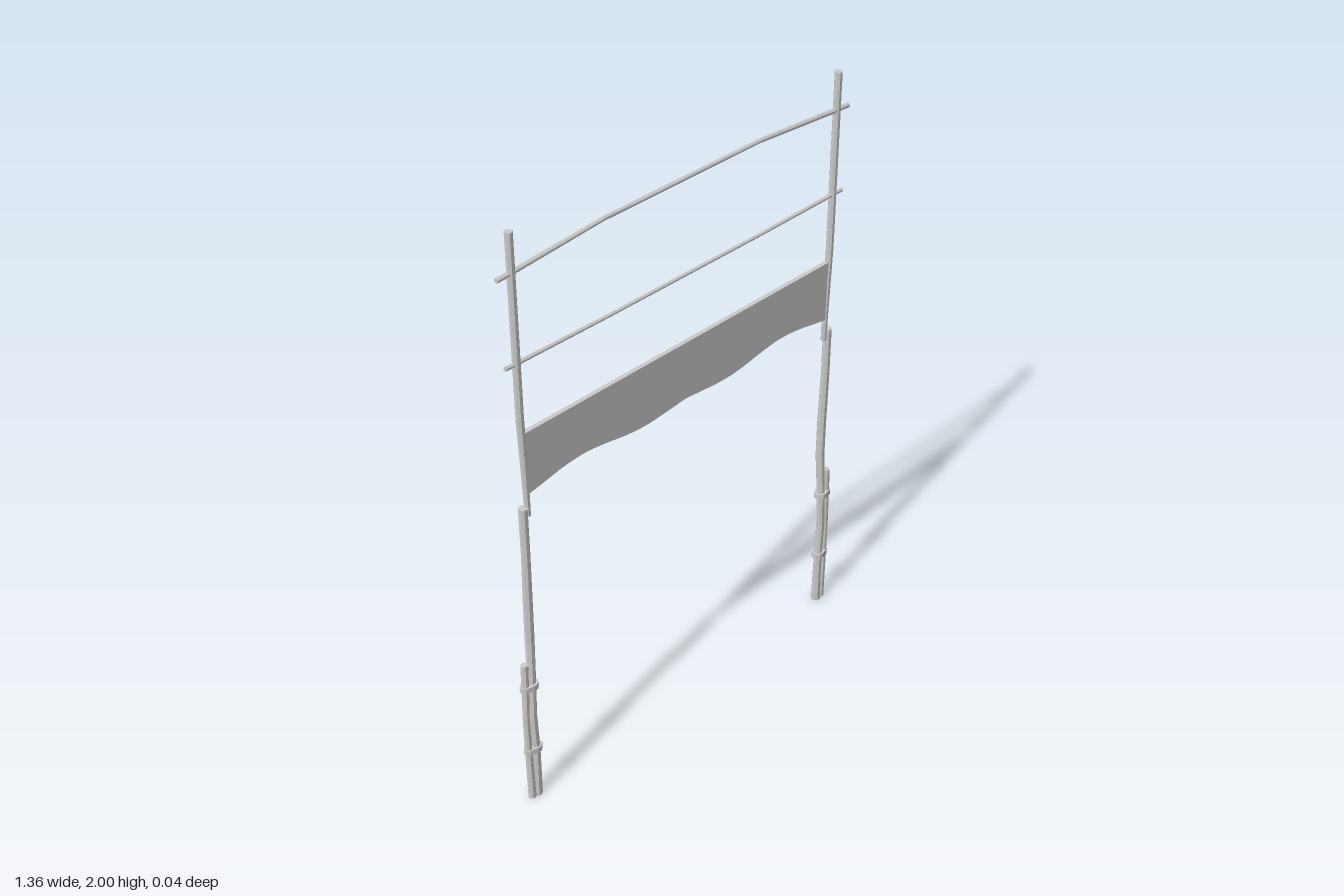
import * as THREE from 'three';

const SIDES = 8;

// Capped rod through rings [x, y, z, radius]; rings lie square to the chosen axis
function rod(name, rings, axis, material) {
  const pos = [], idx = [];
  const put = ([x, y, z], a, b) =>
    axis === 'y' ? pos.push(x + b, y, z + a) : pos.push(x, y + a, z + b);
  for (const ring of rings) {
    for (let i = 0; i < SIDES; i++) {
      const t = ((i + 0.5) / SIDES) * Math.PI * 2;
      put(ring, ring[3] * Math.cos(t), ring[3] * Math.sin(t));
    }
  }
  const last = (rings.length - 1) * SIDES;
  for (let r = 0; r < last; r += SIDES) {
    for (let i = 0; i < SIDES; i++) {
      const j = (i + 1) % SIDES;
      idx.push(r + i, r + j, r + SIDES + i, r + j, r + SIDES + j, r + SIDES + i);
    }
  }
  for (let i = 1; i < SIDES - 1; i++) {
    idx.push(0, i + 1, i, last, last + i, last + i + 1);
  }
  const geo = new THREE.BufferGeometry();
  geo.setAttribute('position', new THREE.Float32BufferAttribute(pos, 3));
  geo.setIndex(idx);
  geo.computeVertexNormals();
  const mesh = new THREE.Mesh(geo, material);
  mesh.name = name;
  return mesh;
}

export function createModel() {
  const group = new THREE.Group();
  group.name = 'bannerGate';
  const mat = new THREE.MeshStandardMaterial({ color: 0xcccccc, flatShading: true });
  const clothMat = new THREE.MeshStandardMaterial({ color: 0xcccccc });

  // Lashing outline: wide around the main pole, narrow around the brace
  const lashing = new THREE.Shape([
    [0.618, -0.009], [0.63, -0.02], [0.644, -0.021], [0.67, -0.014], [0.679, -0.006],
    [0.679, 0.006], [0.67, 0.014], [0.644, 0.021], [0.63, 0.02], [0.618, 0.009],
  ].map(([x, z]) => new THREE.Vector2(x, z)));
  const lashingGeo = new THREE.ExtrudeGeometry(lashing, { depth: 0.02, bevelEnabled: false });
  lashingGeo.rotateX(-Math.PI / 2);

  for (const s of [1, -1]) {
    const side = new THREE.Group();
    side.name = s > 0 ? 'leftPost' : 'rightPost';
    const at = (rings) => rings.map(([x, y, z, r]) => [s * x, y, z, r]);

    // Slim upper post
    side.add(rod('upperPost', at([
      [0.613, 1.085, 0, 0.009], [0.616, 1.25, 0, 0.011],
      [0.621, 1.42, 0, 0.012], [0.621, 2, 0, 0.012],
    ]), 'y', mat));

    // Crooked main pole
    side.add(rod('mainPole', at([
      [0.64, 0, 0, 0.016], [0.638, 0.18, 0.002, 0.014], [0.643, 0.33, 0.002, 0.014],
      [0.637, 0.48, 0, 0.014], [0.631, 0.62, -0.005, 0.015], [0.63, 0.76, -0.004, 0.015],
      [0.63, 0.95, 0, 0.014], [0.63, 1.12, 0, 0.014],
    ]), 'y', mat));

    // Short brace beside the foot
    side.add(rod('brace', at([
      [0.662, 0, 0, 0.013], [0.665, 0.18, 0, 0.012],
      [0.667, 0.33, 0, 0.011], [0.663, 0.46, 0, 0.012], [0.661, 0.55, 0, 0.012],
    ]), 'y', mat));

    // Two lashings; the outline is symmetric in z, so the far side is turned round
    for (const y of [0.19, 0.447]) {
      const band = new THREE.Mesh(lashingGeo, mat);
      band.name = 'lashing';
      band.position.y = y;
      if (s < 0) band.rotation.y = Math.PI;
      side.add(band);
    }
    group.add(side);
  }

  // Bowed top rail and slightly sagging lower rail
  group.add(rod('topRail', [
    [-0.67, 1.876, 0, 0.008], [-0.6, 1.88, 0, 0.008], [-0.3, 1.902, 0, 0.007],
    [0.3, 1.902, 0, 0.007], [0.6, 1.88, 0, 0.008], [0.67, 1.876, 0, 0.008],
  ], 'x', mat));
  group.add(rod('lowerRail', [
    [-0.66, 1.6, 0, 0.007], [-0.3, 1.595, 0, 0.006],
    [0.3, 1.595, 0, 0.006], [0.66, 1.6, 0, 0.007],
  ], 'x', mat));

  // Hanging panel with a scalloped lower edge
  const half = [[0, 1.174], [0.07, 1.168], [0.16, 1.162], [0.24, 1.168], [0.32, 1.182],
    [0.4, 1.191], [0.48, 1.186], [0.55, 1.173], [0.612, 1.162]];
  const edge = [...half.slice(1).reverse().map(([x, y]) => [-x, y]), ...half];
  const panel = new THREE.Shape();
  panel.moveTo(-0.612, 1.37);
  panel.lineTo(...edge[0]);
  panel.splineThru(edge.slice(1).map(([x, y]) => new THREE.Vector2(x, y)));
  panel.lineTo(0.612, 1.37);
  const panelGeo = new THREE.ExtrudeGeometry(panel, { depth: 0.014, bevelEnabled: false, curveSegments: 4 });
  panelGeo.translate(0, 0, -0.007);
  const banner = new THREE.Mesh(panelGeo, clothMat);
  banner.name = 'banner';
  group.add(banner);

  return group;
}
